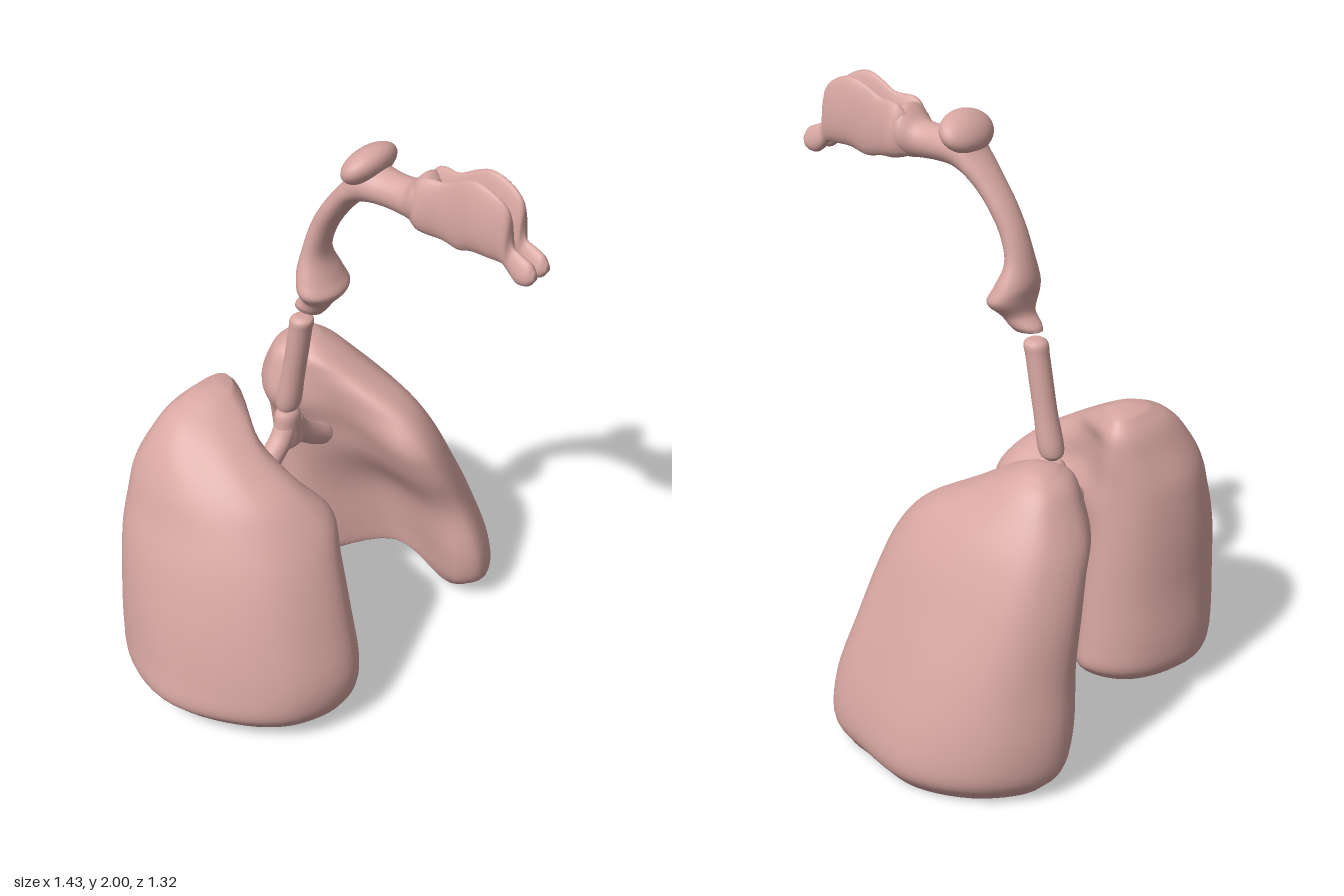
import * as THREE from 'three';

const material = new THREE.MeshStandardMaterial({ color: 0xd8a7a2 });
const V = (x, y, z) => new THREE.Vector3(x, y, z);
const centre = ring => ring.reduce((s, p) => s.add(p), V(0, 0, 0)).divideScalar(ring.length);

// Closed skin over equal-sized rings; ends are closed with a centre point each.
function skin(rings, capLift = [0, 0]) {
  const n = rings[0].length, points = rings.flat(), index = [];
  for (let r = 0; r < rings.length - 1; r++) {
    for (let i = 0; i < n; i++) {
      const a = r * n + i, b = r * n + (i + 1) % n;
      index.push(a, b, a + n, b, b + n, a + n);
    }
  }
  [rings[0], rings[rings.length - 1]].forEach((ring, end) => {
    const c = centre(ring);
    c.y += capLift[end];
    const base = end ? (rings.length - 1) * n : 0, ci = points.length;
    points.push(c);
    for (let i = 0; i < n; i++) {
      const a = base + i, b = base + (i + 1) % n;
      index.push(...(end ? [a, b, ci] : [b, a, ci]));
    }
  });
  // Turn the faces outward when the enclosed volume is negative.
  let volume = 0;
  for (let i = 0; i < index.length; i += 3) {
    const [a, b, c] = [0, 1, 2].map(k => points[index[i + k]]);
    volume += a.dot(b.clone().cross(c));
  }
  if (volume < 0) index.reverse();
  const g = new THREE.BufferGeometry().setFromPoints(points);
  g.setIndex(index);
  g.computeVertexNormals();
  return g;
}

// Smooth control rings both along and around.
function smoothRings(sections, rows, cols) {
  const lines = sections[0].map((_, i) => new THREE.CatmullRomCurve3(sections.map(s => s[i])));
  const rings = [];
  for (let r = 0; r <= rows; r++) {
    const loop = new THREE.CatmullRomCurve3(lines.map(l => l.getPoint(r / rows)), true);
    rings.push(loop.getPoints(cols).slice(0, cols));
  }
  return rings;
}

// Oval duct: each row is [zA, yA, zB, yB, x, halfWidth]; A and B are opposite points of the wall.
function duct(table, rows, narrowing = 0) {
  const sections = table.map(([zA, yA, zB, yB, x, w]) => {
    const ring = [];
    for (let i = 0; i < 12; i++) {
      const a = i / 12 * Math.PI * 2, t = (1 + Math.cos(a)) / 2;
      const width = w * Math.sin(a) * (1 - narrowing * Math.cos(a));
      ring.push(V(x + width, yA + (yB - yA) * t, zA + (zB - zA) * t));
    }
    return ring;
  });
  return skin(smoothRings(sections, rows, 24));
}

// Lung: each row is [y, outer, medial, hollow, frontFlap, front, back].
function lung(side, table, { hollowRaise, medialRaise, frontRaise, backRound, topLift }) {
  const sections = table.map(([y, outer, medial, hollow, flap, front, back], row) => {
    const d = front - back, w = outer - medial, f = outer - flap;
    const fade = [1, 0.6, 0.2][row] ?? 0;
    return [
      [flap + 0.2 * f, front, frontRaise], [flap + 0.6 * f, front - 0.07 * d],
      [outer - 0.1 * w, back + 0.74 * d], [outer, back + 0.44 * d],
      [outer - (0.18 - 0.07 * y) * w, back + (0.15 - 0.05 * y) * d], [medial + 0.48 * w, back],
      [medial + backRound * w, back + 0.11 * d, 0.01], [medial, back + 0.29 * d, medialRaise],
      [hollow, back + 0.58 * d, hollowRaise], [flap, front - 0.08 * d, frontRaise],
    ].map(([x, z, lift = 0]) => V(side * x, y + lift * fade, z));
  });
  const rings = smoothRings(sections, 40, 60);
  // Vaulted underside
  const rim = rings[0], c = centre(rim);
  for (const [scale, lift] of [[0.94, 0.006], [0.8, 0.03], [0.6, 0.06], [0.3, 0.08]]) {
    rings.unshift(rim.map(p => p.clone().lerp(c, 1 - scale).add(V(0, lift, 0))));
  }
  return skin(rings, [0.005, topLift]);
}

export function createModel() {
  const model = new THREE.Group();
  const add = (name, geometry, parent = model) => {
    const mesh = new THREE.Mesh(geometry, material);
    mesh.name = name;
    parent.add(mesh);
    return mesh;
  };

  add('rightLung', lung(-1, [
    [0.068, 0.67, 0.09, 0.30, 0.24, 0.18, -0.59],
    [0.12, 0.71, 0.06, 0.31, 0.215, 0.21, -0.64],
    [0.22, 0.70, 0.06, 0.30, 0.21, 0.22, -0.655],
    [0.40, 0.67, 0.07, 0.28, 0.20, 0.175, -0.65],
    [0.58, 0.62, 0.08, 0.24, 0.18, 0.115, -0.65],
    [0.70, 0.57, 0.085, 0.18, 0.155, 0.06, -0.64],
    [0.80, 0.53, 0.09, 0.20, 0.215, -0.03, -0.62],
    [0.90, 0.47, 0.09, 0.17, 0.24, -0.18, -0.57],
    [0.97, 0.40, 0.10, 0.13, 0.20, -0.29, -0.53],
    [1.02, 0.30, 0.14, 0.15, 0.19, -0.37, -0.48],
  ], { hollowRaise: 0.11, medialRaise: 0.035, frontRaise: 0, backRound: 0.1, topLift: 0.012 }));

  add('leftLung', lung(1, [
    [0.005, 0.66, 0.21, 0.42, 0.43, 0.12, -0.58],
    [0.075, 0.71, 0.165, 0.42, 0.40, 0.175, -0.64],
    [0.20, 0.70, 0.15, 0.41, 0.38, 0.18, -0.66],
    [0.40, 0.64, 0.155, 0.37, 0.36, 0.125, -0.65],
    [0.58, 0.57, 0.15, 0.26, 0.27, 0.095, -0.65],
    [0.70, 0.52, 0.13, 0.22, 0.225, 0.055, -0.64],
    [0.80, 0.47, 0.09, 0.18, 0.23, -0.03, -0.62],
    [0.90, 0.40, 0.11, 0.15, 0.20, -0.20, -0.57],
    [0.96, 0.35, 0.135, 0.15, 0.18, -0.30, -0.53],
    [1.00, 0.29, 0.19, 0.20, 0.21, -0.38, -0.47],
  ], { hollowRaise: 0.12, medialRaise: 0.09, frontRaise: 0.035, backRound: 0.17, topLift: 0.01 }));

  // Windpipe with rounded ends
  add('trachea', duct([
    [-0.20, 1.275, -0.24, 1.275, -0.018, 0.022],
    [-0.183, 1.262, -0.258, 1.262, -0.018, 0.038],
    [-0.19, 1.22, -0.266, 1.22, -0.018, 0.039],
    [-0.222, 1.04, -0.298, 1.04, -0.018, 0.039],
    [-0.25, 0.90, -0.326, 0.90, -0.018, 0.039],
    [-0.27, 0.882, -0.312, 0.882, -0.018, 0.022],
  ], 30));

  // Forked airway
  const bronchi = new THREE.Group();
  bronchi.name = 'bronchi';
  model.add(bronchi);
  add('bronchialStem', duct([
    [-0.27, 0.877, -0.32, 0.877, -0.008, 0.035],
    [-0.26, 0.86, -0.338, 0.86, -0.008, 0.045],
    [-0.26, 0.81, -0.34, 0.81, -0.006, 0.054],
    [-0.261, 0.77, -0.339, 0.77, -0.003, 0.07],
    [-0.265, 0.74, -0.335, 0.74, 0, 0.066],
    [-0.285, 0.718, -0.315, 0.718, 0, 0.03],
  ], 24), bronchi);
  for (const side of [-1, 1]) {
    const path = new THREE.CatmullRomCurve3([
      V(side * 0.012, 0.82, -0.3), V(side * 0.045, 0.767, -0.3), V(side * 0.11, 0.712, -0.3), V(side * 0.165, 0.68, -0.3),
    ]);
    add('bronchus', new THREE.TubeGeometry(path, 20, 0.039, 16), bronchi);
    add('bronchusEnd', new THREE.SphereGeometry(0.039, 16, 12), bronchi).position.copy(path.getPoint(1));
  }

  // Larynx rising into the throat and bending forward to the nasal passage
  add('throat', duct([
    [-0.15, 1.303, -0.25, 1.308, -0.005, 0.038],
    [-0.135, 1.32, -0.245, 1.322, -0.003, 0.048],
    [-0.115, 1.35, -0.215, 1.36, 0, 0.06],
    [-0.08, 1.395, -0.215, 1.415, 0.003, 0.103],
    [-0.10, 1.44, -0.222, 1.46, 0.003, 0.092],
    [-0.13, 1.52, -0.207, 1.54, 0, 0.06],
    [-0.11, 1.60, -0.18, 1.625, 0, 0.05],
    [-0.075, 1.665, -0.14, 1.70, 0, 0.052],
    [-0.025, 1.73, -0.085, 1.775, 0, 0.058],
    [0.02, 1.77, -0.03, 1.84, 0, 0.07],
    [0.07, 1.785, 0.02, 1.90, 0, 0.075],
    [0.13, 1.785, 0.13, 1.895, 0, 0.06],
    [0.20, 1.78, 0.20, 1.90, 0, 0.062],
    [0.25, 1.775, 0.255, 1.945, 0, 0.08],
    [0.29, 1.785, 0.29, 1.92, 0, 0.05],
  ], 70));

  // Winged cushion at the back of the nasal passage, tilted up toward the front
  const cushion = new THREE.SphereGeometry(1, 32, 20);
  const p = cushion.attributes.position;
  for (let i = 0; i < p.count; i++) {
    const [x, y, z] = [p.getX(i), p.getY(i), p.getZ(i)];
    p.setXYZ(i, x * 0.108, 1.898 + y * 0.058 + z * 0.022, 0.035 + z * 0.065);
  }
  cushion.computeVertexNormals();
  add('throatCushion', cushion);

  // Paired nasal passages ending in nostril knobs
  for (const side of [-1, 1]) {
    add(side < 0 ? 'rightNasalPassage' : 'leftNasalPassage', duct([
      [0.22, 1.79, 0.22, 1.90, 0.035, 0.02],
      [0.27, 1.775, 0.265, 1.948, 0.045, 0.038],
      [0.34, 1.765, 0.34, 1.955, 0.036, 0.026],
      [0.40, 1.755, 0.40, 1.985, 0.038, 0.028],
      [0.45, 1.77, 0.45, 2.0, 0.041, 0.033],
      [0.51, 1.77, 0.51, 1.985, 0.04, 0.031],
      [0.555, 1.765, 0.565, 1.94, 0.035, 0.026],
      [0.58, 1.74, 0.58, 1.83, 0.031, 0.021],
      [0.61, 1.72, 0.615, 1.81, 0.032, 0.025],
      [0.645, 1.725, 0.645, 1.795, 0.031, 0.023],
      [0.662, 1.745, 0.662, 1.77, 0.031, 0.01],
    ].map(row => row.map((v, i) => (i === 4 ? side * v : v))), 50, 0.3));
  }
  return model;
}
